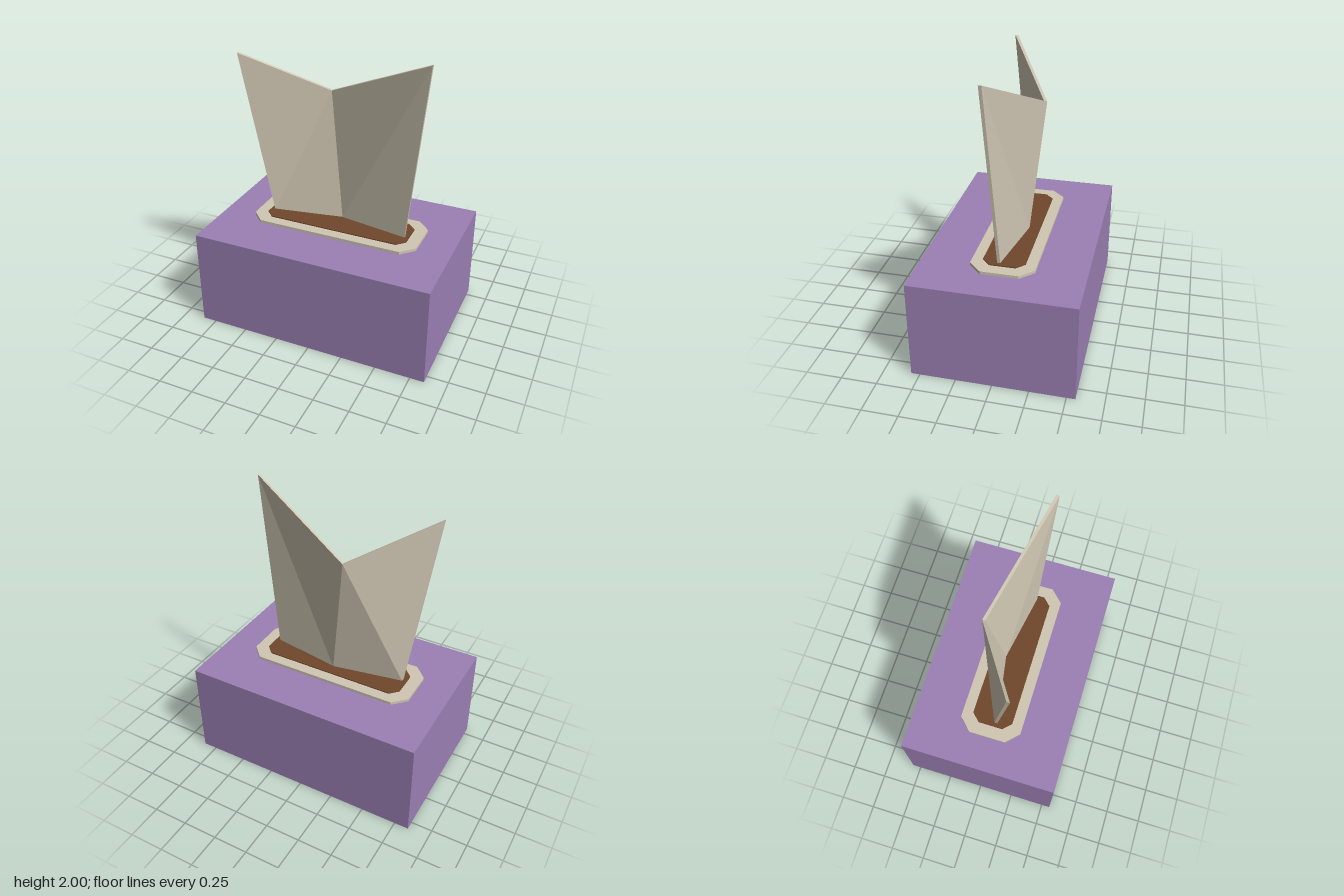
import * as THREE from 'three';

const purple = new THREE.MeshStandardMaterial({ name: 'purple', color: 0x9c80b4 });
const cream = new THREE.MeshStandardMaterial({ name: 'cream', color: 0xd0c7b3 });
const brown = new THREE.MeshStandardMaterial({ name: 'brown', color: 0x70482b });

// Flat plate with chamfered corners, lying on y
function chamferedPlate(name, halfX, halfZ, chamfer, y, height, material) {
  const a = halfX - chamfer, b = halfZ - chamfer;
  const outline = [
    [a, -halfZ], [halfX, -b], [halfX, b], [a, halfZ],
    [-a, halfZ], [-halfX, b], [-halfX, -b], [-a, -halfZ],
  ].map(([x, z]) => new THREE.Vector2(x, z));
  const geometry = new THREE.ExtrudeGeometry(new THREE.Shape(outline), { depth: height, bevelEnabled: false });
  geometry.rotateX(-Math.PI / 2);
  geometry.translate(0, y, 0);
  const mesh = new THREE.Mesh(geometry, material);
  mesh.name = name;
  return mesh;
}

// Folded sheet: back points, thickened towards the front
function foldedSheet() {
  const thickness = 0.021;
  const points = [
    [-0.5, 0.73, 0.02], [0, 0.73, -0.067], [0.5, 0.73, 0.02],        // foot
    [0.645, 2.0, 0.077], [-0.12, 1.65, -0.157], [-0.65, 1.94, 0.165], // top edge
  ];
  const folds = [[5, 0, 4], [0, 1, 4], [1, 3, 4], [1, 2, 3]];
  const back = points.map((p) => new THREE.Vector3(...p));
  const front = back.map((p) => p.clone().add(new THREE.Vector3(0, 0, thickness)));
  const corners = [];
  for (const [a, b, c] of folds) {
    corners.push(front[a], front[b], front[c], back[a], back[c], back[b]);
  }
  // Rim around the sheet
  for (let i = 0; i < points.length; i++) {
    const j = (i + 1) % points.length;
    corners.push(front[i], back[i], back[j], front[i], back[j], front[j]);
  }
  const geometry = new THREE.BufferGeometry().setFromPoints(corners);
  geometry.computeVertexNormals();
  const mesh = new THREE.Mesh(geometry, cream);
  mesh.name = 'foldedSheet';
  return mesh;
}

export function createModel() {
  const group = new THREE.Group();
  group.name = 'pedestalSculpture';

  // Pedestal block
  const pedestal = new THREE.Mesh(new THREE.BoxGeometry(1.7, 0.71, 1.12), purple);
  pedestal.name = 'pedestal';
  pedestal.position.y = 0.355;
  group.add(pedestal);

  // Stepped base plates
  group.add(chamferedPlate('basePlate', 0.615, 0.22, 0.09, 0.71, 0.02, cream));
  group.add(chamferedPlate('insetPlate', 0.53, 0.145, 0.057, 0.73, 0.007, brown));

  group.add(foldedSheet());
  return group;
}
